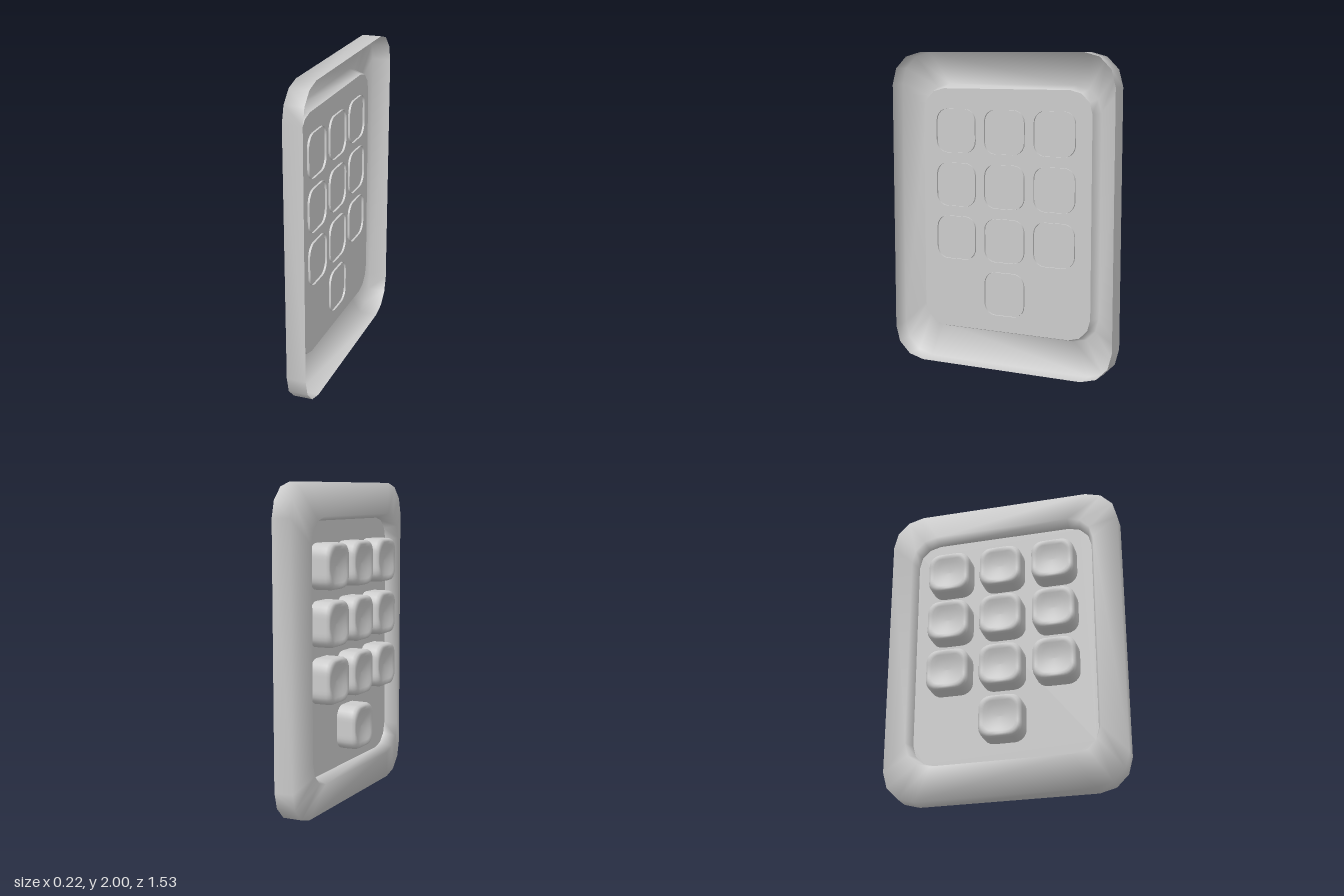
import * as THREE from 'three';

const material = new THREE.MeshStandardMaterial({ color: 0xcccccc, side: THREE.DoubleSide });

// Rounded rectangle as [z, y] points, running from +z towards +y
function outline(hz, hy, r, arcSteps, sideSteps = 1) {
  const corners = [];
  [[1, 1], [-1, 1], [-1, -1], [1, -1]].forEach(([sz, sy], q) => {
    for (let i = 0; i <= arcSteps; i++) {
      const a = (q + i / arcSteps) * Math.PI / 2;
      corners.push([sz * (hz - r) + r * Math.cos(a), sy * (hy - r) + r * Math.sin(a)]);
    }
  });
  // split the straight sides so that they can be curved
  const points = [];
  corners.forEach((p, i) => {
    points.push(p);
    if (i % (arcSteps + 1) !== arcSteps) return;
    const n = corners[(i + 1) % corners.length];
    for (let k = 1; k < sideSteps; k++) {
      const t = k / sideSteps;
      points.push([p[0] + (n[0] - p[0]) * t, p[1] + (n[1] - p[1]) * t]);
    }
  });
  return points;
}

// Joins closed rings of [x, y, z] points into one smooth skin
function loft(rings) {
  const n = rings[0].length;
  const index = [];
  for (let i = 0; i < rings.length - 1; i++) {
    for (let j = 0; j < n; j++) {
      const k = (j + 1) % n;
      const a = i * n + j, b = i * n + k, c = b + n, d = a + n;
      index.push(a, b, c, a, c, d);
    }
  }
  const geometry = new THREE.BufferGeometry();
  geometry.setAttribute('position', new THREE.Float32BufferAttribute(rings.flat(2), 3));
  geometry.setIndex(index);
  geometry.computeVertexNormals();
  return geometry;
}

function addMesh(parent, name, geometry, x, y, z) {
  const mesh = new THREE.Mesh(geometry, material);
  mesh.name = name;
  mesh.position.set(x, y, z);
  parent.add(mesh);
}

// Key cap: open at the back, rounded shoulder, dished face
function keyGeometry() {
  const dish = (z, y) => 0.03 * Math.max(0, 1 - (z * z + y * y) / 0.0175);
  // x, half width, corner radius, share of the dish
  const walls = [
    [0.033, 0.139, 0.075, 0], [-0.04, 0.139, 0.075, 0], [-0.082, 0.138, 0.075, 0],
    [-0.1, 0.131, 0.07, 0.6], [-0.109, 0.116, 0.062, 1],
  ];
  const rings = walls.map(([x, h, r, share]) =>
    outline(h, h, r, 5, 6).map(([z, y]) => [x + share * dish(z, y), y, z]));
  for (const s of [0.85, 0.65, 0.45, 0.22, 0]) {
    rings.push(outline(0.116 * s, 0.116 * s, 0.062 * s, 5, 6)
      .map(([z, y]) => [-0.11 + dish(z, y), y, z]));
  }
  return loft(rings);
}

export function createModel() {
  const group = new THREE.Group();
  group.name = 'keypad';

  // Housing: side wall, sloping rim and the wall of the recess
  const sections = [
    [0.11, 0.765, 1, 0.205], [-0.012, 0.765, 1, 0.205],
    [-0.063, 0.61, 0.8, 0.165], [0.02, 0.585, 0.773, 0.145],
  ];
  const housing = loft(sections.map(([x, hz, hy, r]) =>
    outline(hz, hy, r, 3).map(([z, y]) => [x, y, z])));
  addMesh(group, 'housing', housing, 0, 1, 0);

  // Flat panel at the bottom of the recess
  const shape = new THREE.Shape(outline(0.585, 0.773, 0.145, 3).map(([z, y]) => new THREE.Vector2(z, y)));
  addMesh(group, 'panel', new THREE.ShapeGeometry(shape).rotateY(-Math.PI / 2), 0.02, 1, 0);

  // Keys: three rows of three and a single one below
  const keys = new THREE.Group();
  keys.name = 'keys';
  const key = keyGeometry();
  for (let row = 0; row < 4; row++) {
    for (let col = -1; col <= 1; col++) {
      if (row === 3 && col !== 0) continue;
      addMesh(keys, 'key', key, 0, 1.505 - row * 0.344, 0.003 + col * 0.344);
    }
  }
  group.add(keys);
  return group;
}
